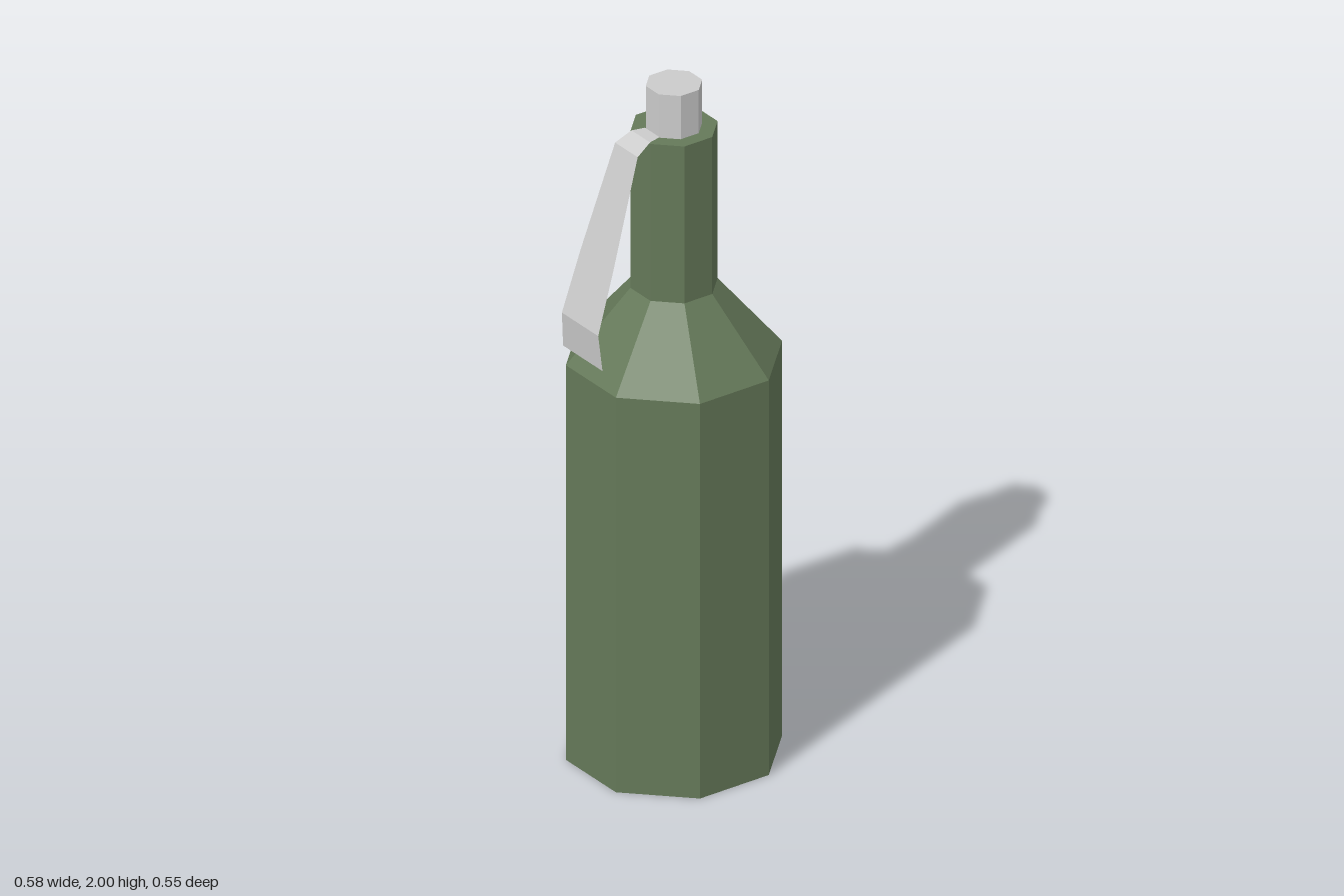
import * as THREE from 'three';

const AXIS_X = 0.017; // the lever overhangs on one side, so the bottle sits off centre

const green = new THREE.MeshStandardMaterial({ color: 0x657959, flatShading: true });
const grey = new THREE.MeshStandardMaterial({ color: 0xcccccc, flatShading: true });
const greySheet = new THREE.MeshStandardMaterial({ color: 0xcccccc, flatShading: true, side: THREE.DoubleSide });

// Eight-sided turned part with its flats facing the axes; profile is [radius, y]
function octagonal(name, profile, material) {
  const points = profile.map(([r, y]) => new THREE.Vector2(r, y));
  const mesh = new THREE.Mesh(new THREE.LatheGeometry(points, 8, Math.PI / 8), material);
  mesh.name = name;
  mesh.position.x = AXIS_X;
  return mesh;
}

// Thin bent strip, symmetric in z; stations are [x, y, half width]
function bentStrip(name, stations, material) {
  const positions = [];
  const index = [];
  stations.forEach(([x, y, w], i) => {
    positions.push(x, y, -w, x, y, w);
    if (i > 0) {
      const a = 2 * (i - 1);
      index.push(a, a + 2, a + 1, a + 1, a + 2, a + 3);
    }
  });
  const geometry = new THREE.BufferGeometry();
  geometry.setAttribute('position', new THREE.Float32BufferAttribute(positions, 3));
  geometry.setIndex(index);
  geometry.computeVertexNormals();
  const mesh = new THREE.Mesh(geometry, material);
  mesh.name = name;
  return mesh;
}

export function createModel() {
  const model = new THREE.Group();
  model.name = 'bottleGrenade';

  // Body, sloping shoulder and neck in one shell
  model.add(octagonal('body', [
    [0, 0], [0.295, 0], [0.295, 1.187], [0.119, 1.398], [0.119, 1.87], [0, 1.87],
  ], green));

  // Fuse cap on the neck
  model.add(octagonal('cap', [[0.077, 1.87], [0.077, 2], [0, 2]], grey));

  // Safety lever: flat on the neck, folded over the rim, flaring to an inturned tip
  model.add(bentStrip('lever', [
    [-0.054, 1.873, 0.033],
    [-0.092, 1.873, 0.042],
    [-0.139, 1.847, 0.051],
    [-0.235, 1.547, 0.074],
    [-0.291, 1.37, 0.082],
    [-0.282, 1.265, 0.089],
  ], greySheet));

  return model;
}
